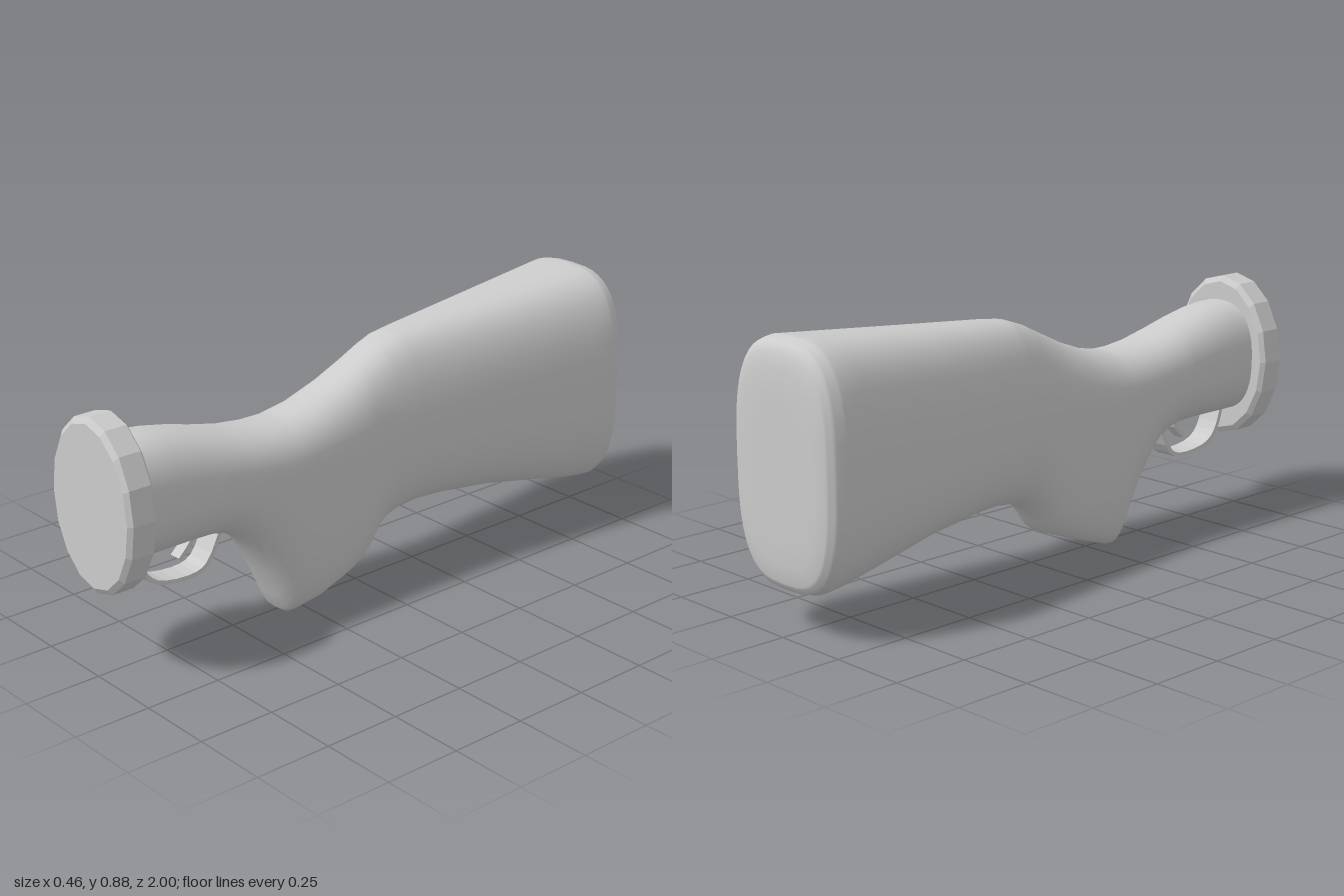
import * as THREE from 'three';

const grey = new THREE.MeshStandardMaterial({ color: 0xcccccc });
const faceted = new THREE.MeshStandardMaterial({ color: 0xcccccc, flatShading: true });

// Profiles along z, as [z, value] from front to back
const TOP = [[0.93, 0.74], [0.85, 0.74], [0.78, 0.732], [0.7, 0.715], [0.6, 0.688], [0.5, 0.664], [0.4, 0.652],
  [0.32, 0.652], [0.22, 0.671], [0.1, 0.715], [0, 0.763], [-0.06, 0.793], [-0.12, 0.814], [-0.2, 0.823],
  [-0.93, 0.882], [-0.965, 0.874], [-0.985, 0.855], [-1, 0.8]];
const BOTTOM = [[0.93, 0.365], [0.7, 0.365], [0.62, 0.362], [0.56, 0.347], [0.5, 0.312], [0.45, 0.25], [0.4, 0.16],
  [0.36, 0.07], [0.338, 0.018], [0.32, 0.004], [0.3, 0.008], [0.1, 0.077], [0.04, 0.098], [0.02, 0.115],
  [0, 0.143], [-0.03, 0.178], [-0.07, 0.208], [-0.12, 0.228], [-0.2, 0.239], [-0.3, 0.236], [-0.5, 0.213],
  [-0.85, 0.143], [-0.94, 0.132], [-0.975, 0.141], [-0.99, 0.165], [-1, 0.22]];
const WIDTH = [[0.93, 0.147], [0.3, 0.141], [0, 0.136], [-0.06, 0.138], [-0.15, 0.148], [-0.9, 0.231],
  [-0.94, 0.231], [-0.97, 0.222], [-0.99, 0.203], [-1, 0.17]];
const MIDDLE = [[0.93, 0.555], [0.6, 0.53], [0.3, 0.5], [-1, 0.51]];
// Squareness of the lower half of each section
const SQUARE = [[0.93, 2.5], [0.5, 2.4], [0.34, 2.5], [0.26, 4], [0.15, 5], [0.06, 3.5], [-0.05, 2.5], [-0.3, 2.7], [-1, 3.1]];
const SQUARE_TOP = [[0.93, 2.4], [0.2, 2.4], [-0.3, 2.7], [-1, 3.1]];

function at(profile, z) {
  for (let i = 1; i < profile.length; i++) {
    const [z0, v0] = profile[i - 1], [z1, v1] = profile[i];
    if (z >= z1) return v0 + (v1 - v0) * (z0 - z) / (z0 - z1);
  }
  return profile[profile.length - 1][1];
}

// Rounded sections lofted from the neck through the grip to the butt
function bodyGeometry() {
  const N = 48, pos = [], idx = [];
  const zs = [...new Set([...TOP, ...BOTTOM, ...WIDTH].map(p => p[0]))].sort((a, b) => b - a);
  const rings = zs.map(z => [z, 1]);
  rings.push([-1.0, 0.7], [-1.0, 0.001]);
  for (const [z, s] of rings) {
    const top = at(TOP, z), bottom = at(BOTTOM, z), mid = at(MIDDLE, z), w = at(WIDTH, z);
    for (let j = 0; j < N; j++) {
      const a = j / N * Math.PI * 2, c = Math.cos(a), d = Math.sin(a);
      const n = d >= 0 ? at(SQUARE_TOP, z) : at(SQUARE, z);
      const x = Math.sign(c) * Math.abs(c) ** (2 / n) * w;
      const y = Math.sign(d) * Math.abs(d) ** (2 / n) * (d >= 0 ? top - mid : mid - bottom);
      pos.push(x * s, mid + y * s, z);
    }
  }
  for (let i = 0; i < rings.length - 1; i++) {
    for (let j = 0; j < N; j++) {
      const k = (j + 1) % N, a = i * N + j, b = i * N + k, c = a + N, d = b + N;
      idx.push(a, c, b, b, c, d);
    }
  }
  const g = new THREE.BufferGeometry();
  g.setAttribute('position', new THREE.Float32BufferAttribute(pos, 3));
  g.setIndex(idx);
  g.computeVertexNormals();
  return g;
}

// Flat strip following a [z, y] path, extruded across x
function strip(points, width, thickness, steps) {
  const curve = new THREE.SplineCurve(points.map(p => new THREE.Vector2(...p)));
  const outer = [], inner = [];
  for (let i = 0; i <= steps; i++) {
    const p = curve.getPoint(i / steps), t = curve.getTangent(i / steps);
    const n = new THREE.Vector2(-t.y, t.x).multiplyScalar(thickness / 2);
    outer.push(p.clone().add(n));
    inner.unshift(p.clone().sub(n));
  }
  const g = new THREE.ExtrudeGeometry(new THREE.Shape([...outer, ...inner]), { depth: width, bevelEnabled: false });
  return g.translate(0, 0, -width / 2).rotateY(-Math.PI / 2);
}

export function createModel() {
  const group = new THREE.Group();
  const add = (name, geometry, material) => {
    const mesh = new THREE.Mesh(geometry, material);
    mesh.name = name;
    group.add(mesh);
    return mesh;
  };

  add('stockBody', bodyGeometry(), grey);

  // Oval collar with bevelled rims
  const rim = [[0, -0.05], [0.93, -0.05], [1, -0.037], [1, 0.037], [0.93, 0.05], [0, 0.05]];
  const collar = new THREE.LatheGeometry(rim.map(p => new THREE.Vector2(...p)), 16);
  collar.rotateX(Math.PI / 2).scale(0.197, 0.275, 1).translate(0, 0.547, 0.95);
  add('frontCollar', collar, faceted);

  // Trigger and its guard
  add('triggerGuard', strip([[0.875, 0.38], [0.845, 0.3], [0.79, 0.256], [0.68, 0.243], [0.615, 0.268], [0.565, 0.36]], 0.08, 0.014, 14), faceted);
  add('trigger', strip([[0.652, 0.38], [0.664, 0.34], [0.705, 0.298]], 0.04, 0.014, 6), faceted);

  return group;
}
